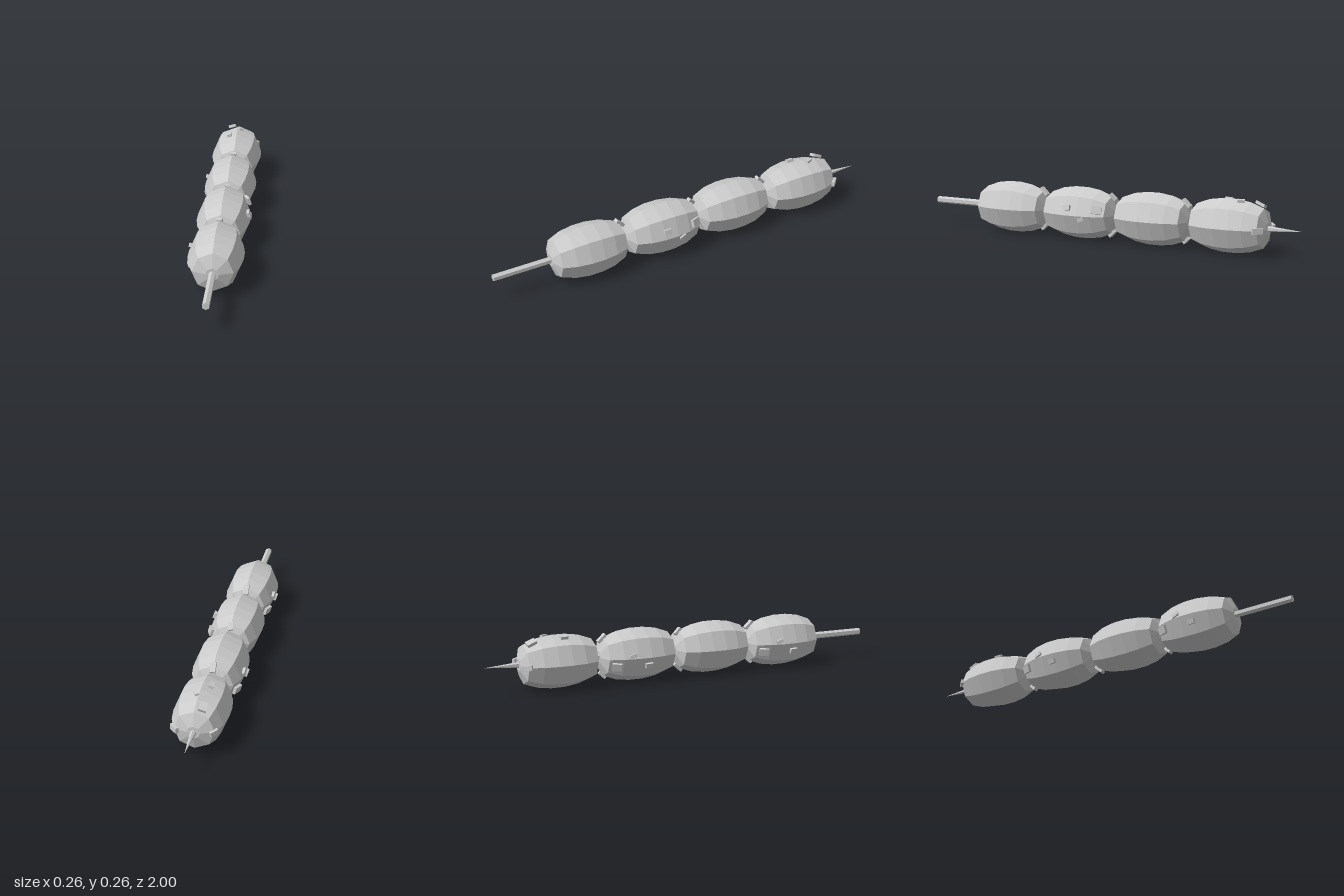
import * as THREE from 'three';

const AXIS_Y = 0.128;

export function createModel() {
  const model = new THREE.Group();
  model.name = 'skewer';
  const grey = new THREE.MeshStandardMaterial({ color: 0xcccccc, flatShading: true });

  const add = (parent, geometry, name) => {
    const mesh = new THREE.Mesh(geometry, grey);
    mesh.name = name;
    parent.add(mesh);
    return mesh;
  };

  // Hexagonal stick along z, with a sharp point at the back
  const stick = add(model, new THREE.CylinderGeometry(0.017, 0.017, 1.8, 6).rotateX(Math.PI / 2), 'stick');
  stick.position.set(0, AXIS_Y, 0.1);
  const tip = add(model, new THREE.ConeGeometry(0.017, 0.2, 6).rotateX(-Math.PI / 2), 'stickTip');
  tip.position.set(0, AXIS_Y, -0.9);

  // Eight-sided barrel shared by every piece
  const half = [[0.126, 0.034], [0.116, 0.102], [0.092, 0.168], [0.03, 0.19], [0, 0.19]];
  const profile = [
    ...half.map(([r, z]) => new THREE.Vector2(r, -z)).reverse(),
    ...half.map(([r, z]) => new THREE.Vector2(r, z)),
  ];
  const barrel = new THREE.LatheGeometry(profile, 8).rotateX(Math.PI / 2);

  // Flakes on the surface: position, lean towards the back, width, length, twist
  const flakes = [
    { at: [0.118, 0.037, 0.02], lean: 0, size: [0.024, 0.036], twist: 0.05 },
    { at: [0.104, 0.034, -0.138], lean: 0.4, size: [0.036, 0.046], twist: 0.08 },
    { at: [0.12, -0.014, -0.06], lean: 0.12, size: [0.018, 0.034], twist: 0.4 },
    { at: [0, -0.088, -0.172], lean: 0.75, size: [0.026, 0.05], twist: 0 },
    { at: [0, 0.088, -0.172], lean: 0.75, size: [0.022, 0.04], twist: 0.15 },
  ];

  // Four pieces, each turned about the stick
  const pieces = [[0.525, Math.PI], [0.138, 0], [-0.255, Math.PI], [-0.647, Math.PI / 2]];
  for (const [z, turn] of pieces) {
    const piece = new THREE.Group();
    piece.name = 'piece';
    piece.position.set(0, AXIS_Y, z);
    piece.rotation.z = turn;
    add(piece, barrel, 'barrel');
    for (const { at, lean, size, twist } of flakes) {
      // Box lies flat with x outwards, then leans, then swings around the axis
      const geometry = new THREE.BoxGeometry(0.014, size[0], size[1])
        .rotateX(twist)
        .rotateY(lean)
        .rotateZ(Math.atan2(at[1], at[0]));
      add(piece, geometry, 'flake').position.set(...at);
    }
    model.add(piece);
  }
  return model;
}
